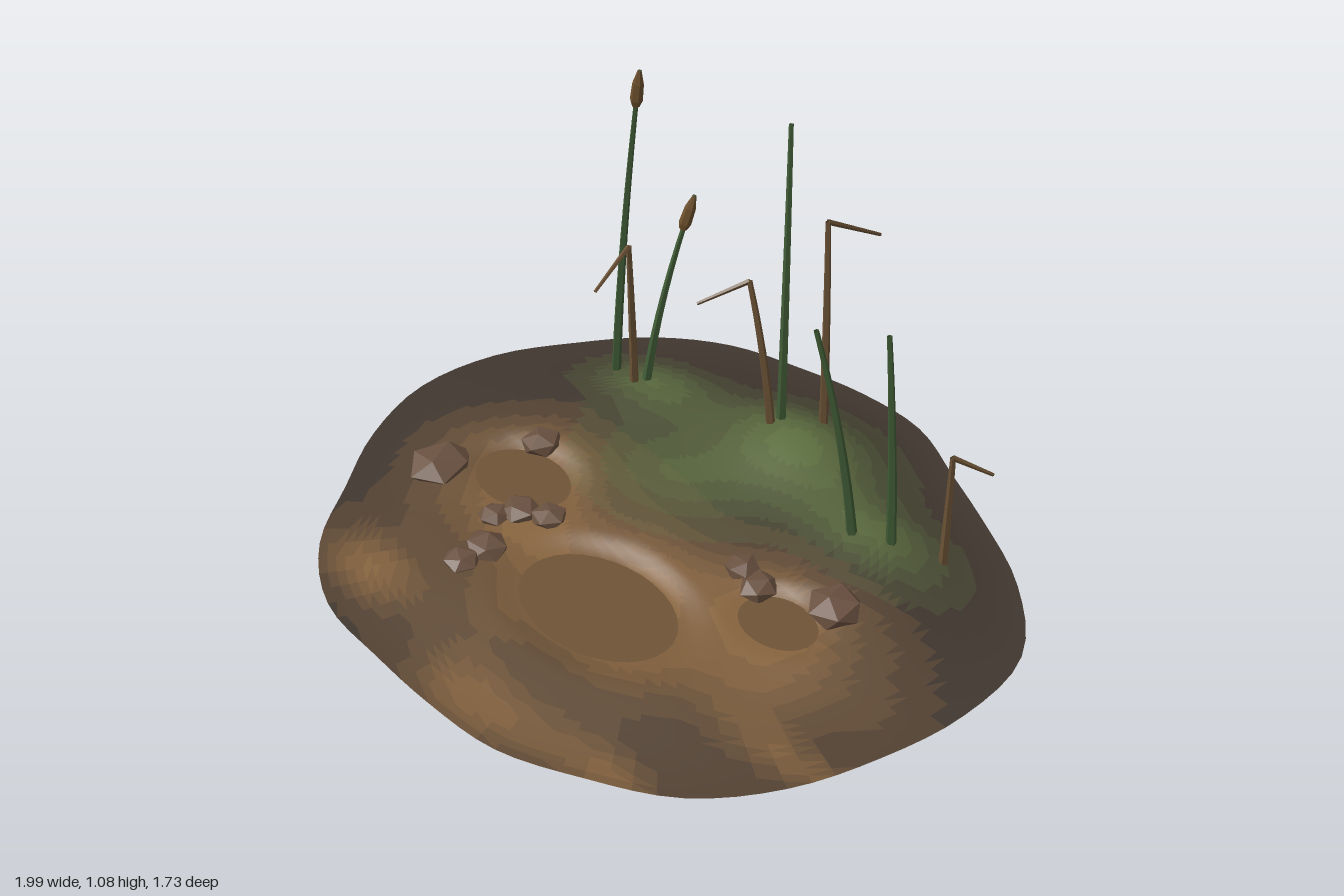
import * as THREE from 'three';

const mat = (color, opts = {}) => new THREE.MeshStandardMaterial({ color, ...opts });
const { smoothstep, lerp } = THREE.MathUtils;

// small seeded generator
let seed = 7;
const rand = () => (seed = (seed * 16807) % 2147483647) / 2147483647;

// shoreline radius every 15 degrees, from +x towards +z
const RADII = [0.985, 0.953, 0.944, 0.93, 0.89, 0.88, 0.857, 0.867, 0.922, 0.938, 0.923, 0.962,
  1.0, 0.988, 0.945, 0.932, 0.91, 0.87, 0.866, 0.872, 0.846, 0.873, 0.945, 1.008];

function shore(angle) {
  const n = RADII.length;
  const u = ((angle / (Math.PI * 2)) * n + n) % n;
  const i = Math.floor(u), f = u - i;
  const [a, b, c, d] = [-1, 0, 1, 2].map(k => RADII[(i + k + n) % n]);
  return b + 0.5 * f * (c - a + f * (2 * a - 5 * b + 4 * c - d + f * (3 * (b - c) + d - a)));
}

// puddles: x, z, radius x, radius z, water level
const PUDDLES = [
  [0.08, 0.35, 0.235, 0.16, 0.045],
  [-0.42, 0.135, 0.15, 0.11, 0.062],
  [0.475, 0.1, 0.11, 0.085, 0.066],
];

// soft spots: x, z, radius x, radius z, strength
const MOUNDS = [[0.08, -0.45, 0.2, 0.19, 0.058], [-0.42, -0.4, 0.2, 0.16, 0.018], [0.48, -0.3, 0.2, 0.16, 0.022]];
const MOSS = [[0.1, -0.42, 0.24, 0.2, 1], [-0.42, -0.4, 0.2, 0.13, 0.75], [0.48, -0.3, 0.2, 0.13, 0.75], [-0.12, -0.13, 0.24, 0.16, 0.55]];
const MUD = [[0.1, 0.32, 0.5, 0.26, 1], [-0.42, 0.12, 0.25, 0.2, 0.9], [0.5, 0.1, 0.28, 0.17, 0.8],
  [-0.5, 0.63, 0.2, 0.1, 0.8], [0.1, 0.76, 0.28, 0.11, 0.8], [0.8, 0.4, 0.2, 0.06, 0.7], [0.5, 0.72, 0.12, 0.06, 0.6]];
const spots = (list, x, z) =>
  list.reduce((s, [cx, cz, rx, rz, k]) => s + k * Math.exp(-(((x - cx) / rx) ** 2) - ((z - cz) / rz) ** 2), 0);

function groundHeight(x, z) {
  const t = Math.hypot(x, z) / shore(Math.atan2(z, x));
  const back = 1 - smoothstep(z, -0.15, 0.4);
  let h = 0.02 + (1 - smoothstep(t, 0.55, 1)) * lerp(0.028, 0.075, back) + spots(MOUNDS, x, z);
  for (const [cx, cz, rx, rz, level] of PUDDLES) {
    const d = Math.hypot((x - cx) / rx, (z - cz) / rz);
    h = lerp(level - 0.006, h, smoothstep(d, 1, 1.45));
  }
  return h;
}

// ground sheet, divided into patches of soil, mud and moss tones
function buildGround() {
  const SPOKES = 96, RINGS = 40, LEVELS = 6;
  const pos = [];
  for (let r = 0; r <= RINGS; r++) {
    for (let i = 0; i < SPOKES; i++) {
      const a = (i / SPOKES) * Math.PI * 2, d = shore(a) * (r / RINGS);
      const x = Math.cos(a) * d, z = Math.sin(a) * d;
      pos.push(x, groundHeight(x, z), z);
    }
  }
  const all = [], patches = new Map();
  const addFace = (...f) => {
    all.push(...f);
    const x = (pos[f[0] * 3] + pos[f[1] * 3] + pos[f[2] * 3]) / 3;
    const z = (pos[f[0] * 3 + 2] + pos[f[1] * 3 + 2] + pos[f[2] * 3 + 2]) / 3;
    const blotch = 0.15 * Math.sin(x * 11 + z * 5) * Math.sin(z * 13 - x * 4);
    const level = v => Math.round(Math.min(1, Math.max(0, v)) * LEVELS);
    const mud = spots(MUD, x, z);
    const key = level(mud + blotch * Math.min(1, mud * 2)) * 100 + level(spots(MOSS, x, z));
    if (!patches.has(key)) patches.set(key, []);
    patches.get(key).push(...f);
  };
  for (let r = 0; r < RINGS; r++) {
    for (let i = 0; i < SPOKES; i++) {
      const j = (i + 1) % SPOKES;
      const a = r * SPOKES + i, b = r * SPOKES + j, c = a + SPOKES, d = b + SPOKES;
      if (r > 0) addFace(a, b, c);
      addFace(b, d, c);
    }
  }
  const full = new THREE.BufferGeometry();
  full.setAttribute('position', new THREE.Float32BufferAttribute(pos, 3));
  full.setIndex(all);
  full.computeVertexNormals();

  const ground = new THREE.Group();
  ground.name = 'ground';
  for (const [key, index] of patches) {
    const geo = new THREE.BufferGeometry();
    geo.setAttribute('position', full.attributes.position);
    geo.setAttribute('normal', full.attributes.normal);
    geo.setIndex(index);
    const color = new THREE.Color(0x40372f)
      .lerp(new THREE.Color(0x86633d), Math.floor(key / 100) / LEVELS)
      .lerp(new THREE.Color(0x5d6f40), (key % 100) / LEVELS);
    const patch = new THREE.Mesh(geo, mat(color, { side: THREE.DoubleSide }));
    patch.name = 'groundPatch';
    ground.add(patch);
  }
  return ground;
}

// tapered five-sided stalk along a curve
function stalk(curve, r0, r1, material, name) {
  const steps = 8, sides = 5;
  const geo = new THREE.TubeGeometry(curve, steps, 1, sides, false);
  const p = geo.attributes.position, v = new THREE.Vector3();
  for (let i = 0; i < p.count; i++) {
    const t = Math.floor(i / (sides + 1)) / steps, c = curve.getPointAt(t);
    v.fromBufferAttribute(p, i).sub(c).multiplyScalar(lerp(r0, r1, t)).add(c);
    p.setXYZ(i, v.x, v.y, v.z);
  }
  geo.computeVertexNormals();
  const mesh = new THREE.Mesh(geo, material);
  mesh.name = name;
  return mesh;
}

function leaningCurve(x, z, tip) {
  const base = new THREE.Vector3(x, groundHeight(x, z) - 0.015, z);
  const mid = new THREE.Vector3(lerp(x, tip.x, 0.3), lerp(base.y, tip.y, 0.5), lerp(z, tip.z, 0.3));
  return new THREE.QuadraticBezierCurve3(base, mid, tip);
}

export function createModel() {
  seed = 7;
  const model = new THREE.Group();
  model.name = 'marshPatch';
  model.add(buildGround());

  // still water
  const water = mat(0x6f5335, { side: THREE.DoubleSide });
  for (const [x, z, rx, rz, level] of PUDDLES) {
    const puddle = new THREE.Mesh(new THREE.CircleGeometry(1, 32).rotateX(-Math.PI / 2), water);
    puddle.scale.set(rx * 1.02, 1, rz * 1.02);
    puddle.position.set(x, level, z);
    puddle.name = 'puddle';
    model.add(puddle);
  }

  const green = mat(0x3f5a35, { flatShading: true, side: THREE.DoubleSide });
  const dry = mat(0x6a5135, { flatShading: true, side: THREE.DoubleSide });
  const headMat = mat(0x6b4f2c, { flatShading: true });

  // green reeds: base x, z, tip x, y, z, seed head
  const reeds = [
    [-0.58, -0.405, -0.485, 1.09, -0.42, true],
    [-0.45, -0.4, -0.365, 0.715, -0.51, true],
    [-0.005, -0.485, -0.075, 1.025, -0.56, false],
    [0.43, -0.257, 0.325, 0.75, -0.188, false],
    [0.525, -0.302, 0.478, 0.757, -0.282, false],
  ];
  for (const [x, z, tx, ty, tz, hasHead] of reeds) {
    const curve = leaningCurve(x, z, new THREE.Vector3(tx, ty, tz));
    model.add(stalk(curve, 0.015, hasHead ? 0.006 : 0.007, green, 'reed'));
    if (!hasHead) continue;
    const profile = [[0, 0], [0.011, 0], [0.018, 0.02], [0.016, 0.07], [0.006, 0.108], [0, 0.11]];
    const head = new THREE.Mesh(new THREE.LatheGeometry(profile.map(q => new THREE.Vector2(...q)), 6), headMat);
    const dir = curve.getTangent(1);
    head.quaternion.setFromUnitVectors(new THREE.Vector3(0, 1, 0), dir);
    head.position.set(tx, ty, tz).addScaledVector(dir, -0.11);
    head.name = 'seedHead';
    model.add(head);
  }

  // dry stalks snapped over: base x, z, bend x, y, z, tip x, y, z
  const snapped = [
    [-0.47, -0.37, -0.457, 0.588, -0.34, -0.45, 0.51, -0.197],
    [-0.015, -0.45, -0.095, 0.59, -0.433, -0.2, 0.515, -0.34],
    [0.08, -0.57, 0.05, 0.772, -0.577, 0.09, 0.665, -0.763],
    [0.645, -0.375, 0.645, 0.42, -0.365, 0.72, 0.36, -0.443],
  ];
  for (const [x, z, bx, by, bz, tx, ty, tz] of snapped) {
    const bend = new THREE.Vector3(bx, by, bz);
    model.add(stalk(leaningCurve(x, z, bend), 0.014, 0.008, dry, 'dryStalk'));
    model.add(stalk(new THREE.LineCurve3(bend, new THREE.Vector3(tx, ty, tz)), 0.008, 0.005, dry, 'brokenTop'));
  }

  // rocks: x, z, radius
  const rockMat = mat(0x6a5140, { flatShading: true });
  const rocks = [[-0.48, 0, 0.065], [-0.65, 0.235, 0.1], [-0.33, 0.23, 0.06], [-0.37, 0.29, 0.05], [-0.25, 0.2, 0.055],
    [-0.295, 0.39, 0.068], [-0.305, 0.47, 0.053], [0.285, 0.02, 0.052], [0.36, 0.04, 0.06], [0.56, -0.02, 0.078]];
  for (const [x, z, r] of rocks) {
    const geo = new THREE.IcosahedronGeometry(r, 0);
    geo.rotateX(rand() * 3).rotateZ(rand() * 3);
    geo.scale(1, 0.5, 0.85 + rand() * 0.2);
    geo.rotateY(rand() * 6);
    const rock = new THREE.Mesh(geo, rockMat);
    rock.position.set(x, Math.max(groundHeight(x, z) + 0.005, r * 0.5), z);
    rock.name = 'rock';
    model.add(rock);
  }
  return model;
}
